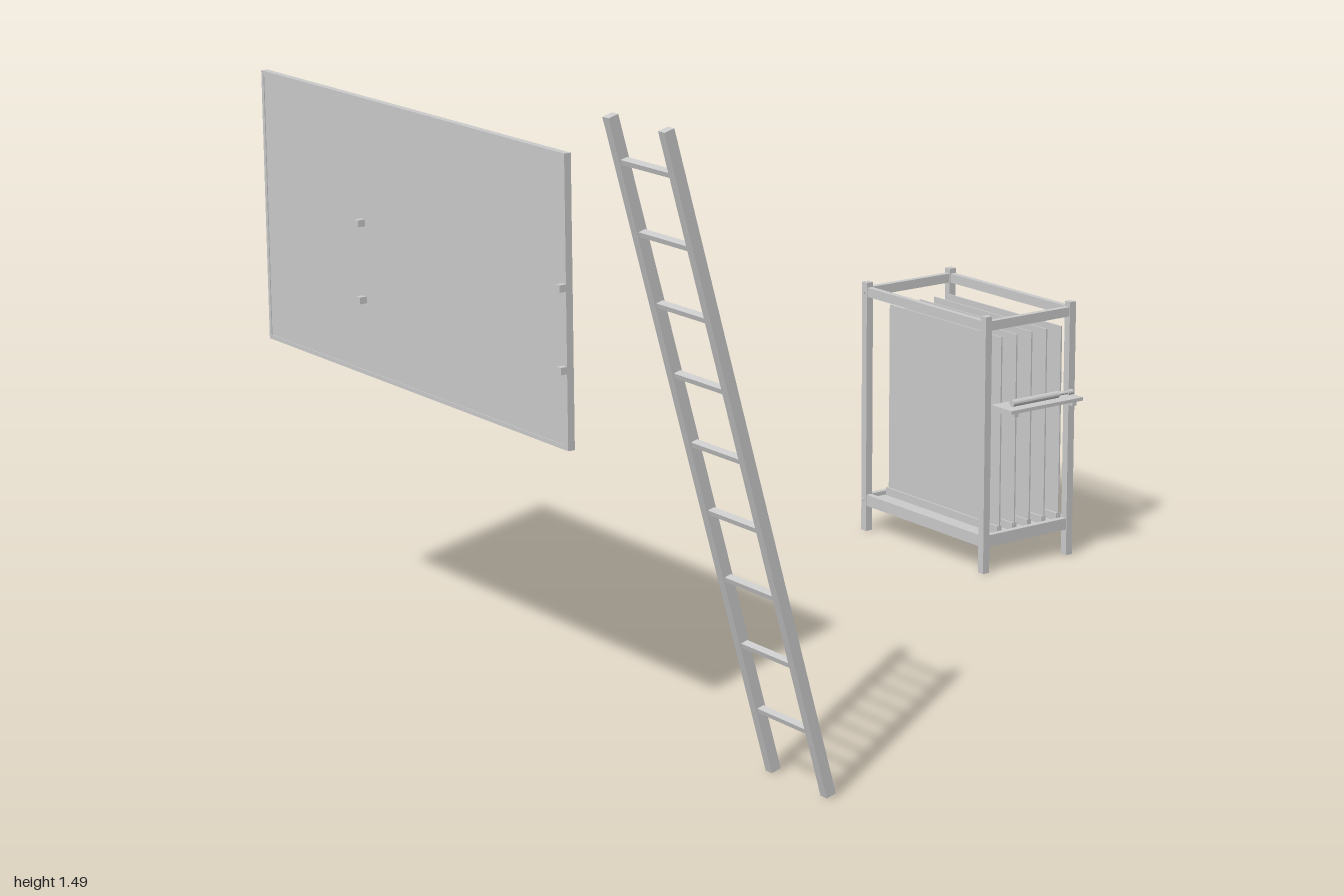
import * as THREE from 'three';

const mat = new THREE.MeshStandardMaterial({ color: 0xcccccc, flatShading: true });

function add(parent, name, geo, x = 0, y = 0, z = 0) {
  const m = new THREE.Mesh(geo, mat);
  m.name = name;
  m.position.set(x, y, z);
  parent.add(m);
  return m;
}

// Box given by its lower and upper limits on each axis
function span(parent, name, x0, x1, y0, y1, z0, z1) {
  return add(parent, name, new THREE.BoxGeometry(x1 - x0, y1 - y0, z1 - z0),
    (x0 + x1) / 2, (y0 + y1) / 2, (z0 + z1) / 2);
}

function group(parent, name) {
  const g = new THREE.Group();
  g.name = name;
  parent.add(g);
  return g;
}

// Flat tool piece cut from an outline
function plate(parent, name, points, depth = 0.011) {
  const shape = new THREE.Shape(points.map(([x, y]) => new THREE.Vector2(x, y)));
  return add(parent, name, new THREE.ExtrudeGeometry(shape, { depth, bevelEnabled: false }));
}

function ladder(root) {
  const g = group(root, 'ladder');
  const height = 1.49, tilt = 0.268, length = 1.539;
  g.position.set(0.785, height / 2, 0.784);
  g.rotation.x = tilt;
  for (const s of [-1, 1])
    add(g, 'ladderRail', new THREE.BoxGeometry(0.022, length, 0.025), s * 0.098);
  for (let i = 0; i < 9; i++) {
    const y = (0.152 + i * 0.155 - height / 2) / Math.cos(tilt);
    add(g, 'ladderRung', new THREE.BoxGeometry(0.176, 0.011, 0.017), 0, y);
  }
}

function rack(root) {
  const g = group(root, 'sheetRack');
  const X0 = -0.655, X1 = -0.155, Z0 = -1, Z1 = -0.705, w = 0.02;
  for (const x of [X0, X1 - w])
    for (const z of [Z0, Z1 - w]) span(g, 'rackPost', x, x + w, 0, 0.665, z, z + w);
  // Rails around the top and bottom
  for (const [y0, y1] of [[0.068, 0.098], [0.628, 0.652]]) {
    for (const z of [Z0, Z1 - w])
      span(g, 'longRail', X0 + w, X1 - w, y0, y1, z + 0.002, z + w - 0.002);
    for (const x of [X0, X1 - w])
      span(g, 'sideRail', x + 0.002, x + w - 0.002, y0, y1, Z0 + w, Z1 - w);
  }
  // Bolts on the front corner joints
  for (const y of [0.083, 0.64]) {
    const bolt = add(g, 'bolt', new THREE.CylinderGeometry(0.005, 0.005, 0.004, 10), X0 + 0.008, y, Z1);
    bolt.rotation.x = Math.PI / 2;
  }
  span(g, 'rackFloor', X0 + w, X1 - w, 0.072, 0.088, Z0 + w, Z1 - w);
  // Upright sheets in their shoes
  for (let i = 0; i < 5; i++) {
    const z = -0.776 - i * 0.049;
    span(g, 'sheet', -0.627, -0.177, 0.1, 0.6, z - 0.002, z + 0.002);
    span(g, 'sheetShoe', -0.632, -0.178, 0.088, 0.109, z - 0.007, z + 0.007);
  }
}

function tray(root) {
  const g = group(root, 'sideTray');
  span(g, 'trayPlate', -0.155, -0.075, 0.429, 0.438, -0.958, -0.725);
  for (const z of [-0.745, -0.935]) span(g, 'trayBracket', -0.16, -0.08, 0.418, 0.429, z - 0.006, z + 0.006);
  // Hand tool lying along the tray
  const parts = [['toolHandle', 0.009, 0.15, -0.825], ['toolShaft', 0.004, 0.035, -0.915], ['toolTip', 0.007, 0.016, -0.94]];
  for (const [name, r, len, z] of parts) {
    const m = add(g, name, new THREE.CylinderGeometry(r, r, len, 12), -0.105, 0.448, z);
    m.rotation.x = Math.PI / 2;
  }
}

// Flat wrench with an open jaw and a narrow handle
function wrench(g) {
  plate(g, 'wrench', [[-0.009, 0], [0.009, 0], [0.008, 0.125], [0.027, 0.147], [0.029, 0.175], [0.016, 0.2],
    [0.011, 0.196], [0.013, 0.173], [0.002, 0.16], [-0.011, 0.168], [-0.014, 0.19],
    [-0.022, 0.188], [-0.028, 0.165], [-0.022, 0.144], [-0.008, 0.125]]);
}

const tools = {
  mallet(g) {
    span(g, 'malletHandle', -0.008, 0.008, 0, 0.14, 0, 0.011);
    plate(g, 'malletHead', [[-0.026, 0.135], [0.026, 0.135], [0.03, 0.19], [-0.03, 0.19]]);
  },
  screwdriver(g) {
    span(g, 'screwdriverShaft', -0.003, 0.003, 0.08, 0.19, 0.001, 0.007);
    plate(g, 'screwdriverHandle', [[-0.008, 0], [0.008, 0], [0.011, 0.02], [0.009, 0.075],
      [0.004, 0.085], [-0.004, 0.085], [-0.009, 0.075], [-0.011, 0.02]]);
    plate(g, 'screwdriverTip', [[-0.003, 0.175], [0.003, 0.175], [0.005, 0.19], [-0.005, 0.19]], 0.006);
  },
  largeWrench: wrench,
  clamp(g) {
    span(g, 'clampBar', -0.006, 0.006, 0, 0.2, 0, 0.011);
    for (const y of [0.015, 0.065, 0.12, 0.175]) {
      plate(g, 'clampJaw', [[-0.02, y - 0.012], [0.018, y - 0.004], [0.02, y + 0.012], [-0.018, y + 0.004]], 0.01);
    }
  },
  square(g) {
    plate(g, 'square', [[-0.03, 0], [0.014, 0], [0.014, 0.19], [-0.004, 0.19], [-0.004, 0.018], [-0.03, 0.018]]);
  },
  hooks(g) {
    for (const [x, y] of [[-0.014, 0.17], [0.014, 0.17], [0, 0.185], [0, 0.135]])
      span(g, 'hook', x - 0.003, x + 0.003, y - 0.004, y + 0.004, 0, 0.011);
  },
  smallWrench: wrench,
  chisel(g) {
    plate(g, 'chiselHandle', [[-0.011, 0], [0.011, 0], [0.012, 0.085], [0.005, 0.1], [-0.005, 0.1], [-0.012, 0.085]]);
    span(g, 'chiselBlade', -0.004, 0.004, 0.1, 0.17, 0, 0.008);
    plate(g, 'chiselTip', [[-0.009, 0.165], [0.009, 0.165], [0.011, 0.2], [0, 0.19], [-0.011, 0.2]], 0.008);
  },
};

function board(root) {
  const g = group(root, 'toolBoard');
  const X0 = -0.9, X1 = 0.38, Y0 = 0.702, Y1 = 1.35, Z0 = 0.88, Z1 = 0.897, f = 0.01;
  span(g, 'boardPanel', X0 + f, X1 - f, Y0 + f, Y1 - f, Z0 + 0.002, Z1 - 0.002);
  for (const y of [Y0, Y1 - f]) span(g, 'boardEdge', X0, X1, y, y + f, Z0, Z1);
  for (const x of [X0, X1 - f]) span(g, 'boardEdge', x, x + f, Y0 + f, Y1 - f, Z0, Z1);
  // Pegs on the front
  for (const x of [-0.455, 0.372])
    for (const y of [0.88, 1.06]) span(g, 'peg', x - 0.008, x + 0.008, y - 0.008, y + 0.008, Z1 - 0.002, 0.913);
  // Tools hung along the back
  const xs = [-0.8, -0.66, -0.515, -0.37, -0.21, -0.08, 0.065, 0.21];
  Object.entries(tools).forEach(([name, build], i) => {
    const t = group(g, name);
    t.position.set(xs[i], 0.755, Z0 + 0.002);
    t.rotation.y = Math.PI;
    build(t);
  });
}

export function createModel() {
  const root = new THREE.Group();
  root.name = 'workshopSet';
  ladder(root);
  rack(root);
  tray(root);
  board(root);
  return root;
}
